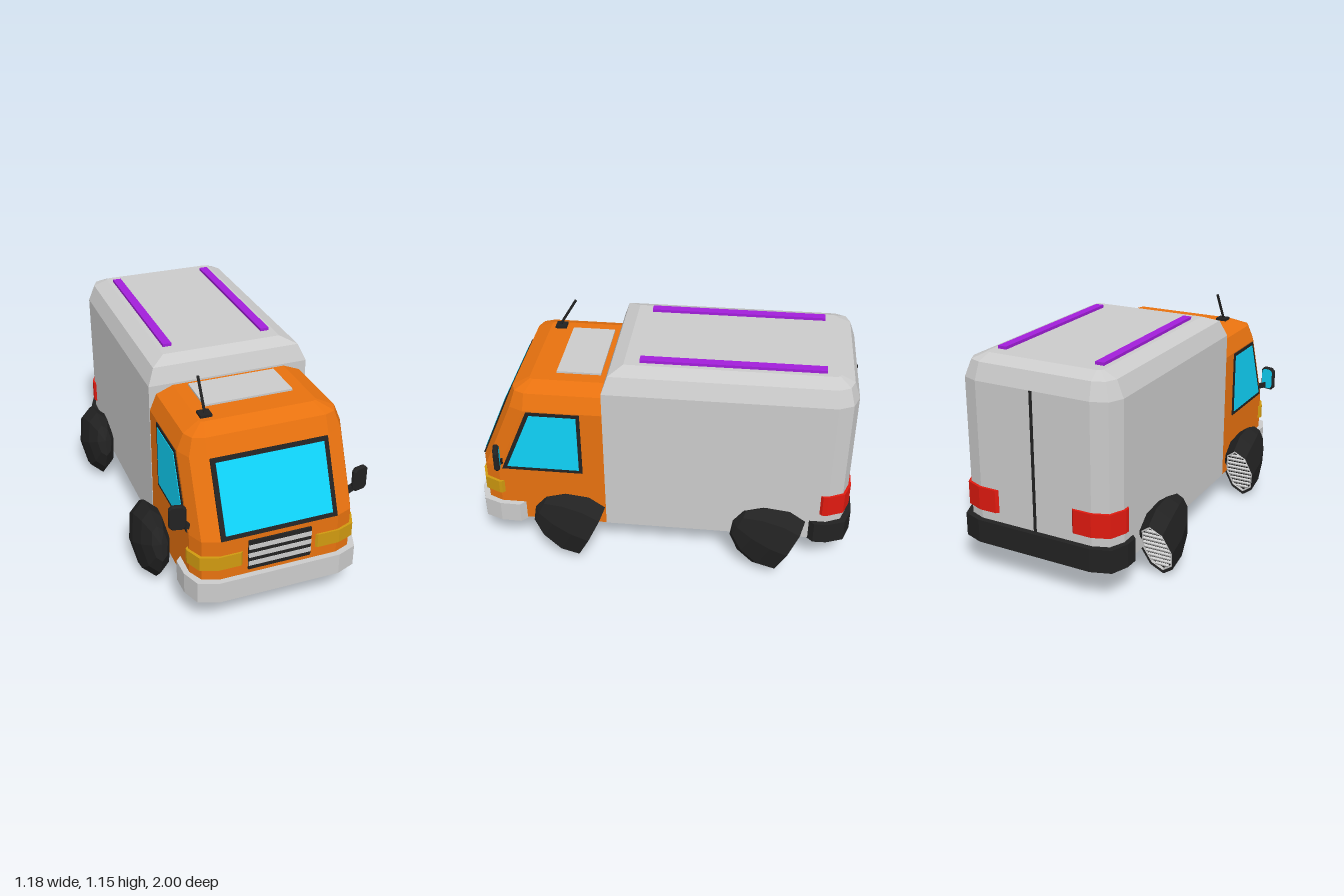
import * as THREE from 'three';

const mat = (color) => new THREE.MeshStandardMaterial({ color, flatShading: true, side: THREE.DoubleSide });
const GREY = mat(0xcccccc), ORANGE = mat(0xe8720f), DARK = mat(0x222222), GLASS = mat(0x10d4fa);
const PURPLE = mat(0xa31fdb), RED = mat(0xe01a10), AMBER = mat(0xd09a10);

function add(parent, name, geometry, material, x = 0, y = 0, z = 0) {
  const mesh = new THREE.Mesh(geometry, material);
  mesh.name = name;
  mesh.position.set(x, y, z);
  parent.add(mesh);
  return mesh;
}
const box = (w, h, d) => new THREE.BoxGeometry(w, h, d);

// Skin between stacked horizontal rings [[x, z], ...], with capped ends
function loft(levels) {
  const pos = [], n = levels[0].ring.length;
  const put = (l, i) => pos.push(l.ring[i % n][0], l.y, l.ring[i % n][1]);
  for (let k = 0; k < levels.length - 1; k++) {
    const a = levels[k], b = levels[k + 1];
    for (let i = 0; i < n; i++) {
      put(a, i); put(a, i + 1); put(b, i + 1);
      put(a, i); put(b, i + 1); put(b, i);
    }
  }
  const low = levels[0], top = levels[levels.length - 1];
  for (let i = 1; i < n - 1; i++) {
    put(low, 0); put(low, i + 1); put(low, i);
    put(top, 0); put(top, i); put(top, i + 1);
  }
  const g = new THREE.BufferGeometry();
  g.setAttribute('position', new THREE.Float32BufferAttribute(pos, 3));
  g.computeVertexNormals();
  return g;
}

// Plan outline: square corners at zSquare, two-step chamfered corners at zRound
function plan(w, zSquare, zRound, c = 1) {
  const s = Math.sign(zRound - zSquare);
  const half = [[w - 0.115 * c, zRound], [w - 0.035 * c, zRound - s * 0.03 * c],
    [w, zRound - s * 0.105 * c], [w, zSquare]];
  const ring = [...half, ...half.map(([x, z]) => [-x, z]).reverse()];
  return s > 0 ? ring : ring.reverse();
}

// Band following a plan path, thickened inward and raised from y0 to y1
function band(path, t, y0, y1) {
  const inner = path.map(([x, z]) => [x - Math.sign(x) * t, z - Math.sign(z) * t]).reverse();
  const shape = new THREE.Shape([...path, ...inner].map(([x, z]) => new THREE.Vector2(x, -z)));
  const g = new THREE.ExtrudeGeometry(shape, { depth: y1 - y0, bevelEnabled: false });
  return g.rotateX(-Math.PI / 2).translate(0, y0, 0);
}
const bothSides = (half) => [...half.map(([x, z]) => [-x, z]), ...half.slice().reverse()];

// Flat pane from [z, y] corners, thin along x
function pane(corners, depth) {
  const shape = new THREE.Shape(corners.map(([z, y]) => new THREE.Vector2(-z, y)));
  const g = new THREE.ExtrudeGeometry(shape, { depth, bevelEnabled: false });
  return g.rotateY(Math.PI / 2).translate(-depth / 2, 0, 0);
}

// Domed pod with a louvred flat face
function makePod() {
  const pod = new THREE.Group();
  pod.name = 'wheelPod';
  const profile = [[0, 0.02], [0.16, 0.02], [0.187, 0], [0.203, 0.1], [0.165, 0.21], [0.09, 0.295], [0, 0.323]];
  add(pod, 'podShell', new THREE.LatheGeometry(profile.map((p) => new THREE.Vector2(...p)), 8), DARK);
  add(pod, 'podRim', new THREE.TorusGeometry(0.166, 0.008, 4, 8).rotateX(Math.PI / 2), GREY, 0, 0.012, 0);
  for (let i = -4; i <= 4; i++) {
    const z = i * 0.032, r = 0.16;
    const halfWidth = Math.abs(z) < 0.707 * r ? r - 0.414 * Math.abs(z) : (r - Math.abs(z)) * 2.414;
    add(pod, 'louvre', box(halfWidth * 2, 0.012, 0.01), GREY, 0, 0.013, z);
  }
  pod.scale.x = 0.46;
  pod.rotation.x = 1.113;
  return pod;
}

export function createModel() {
  const van = new THREE.Group();
  van.name = 'van';

  // Main bodies
  add(van, 'cargoBody', loft([
    { y: 0.175, ring: plan(0.425, 0.3, -0.97) },
    { y: 1.0, ring: plan(0.425, 0.3, -0.97) },
    { y: 1.085, ring: plan(0.39, 0.27, -0.94, 0.75) },
    { y: 1.115, ring: plan(0.315, 0.2, -0.87, 0.2) },
  ]), GREY);
  add(van, 'cab', loft([
    { y: 0.175, ring: plan(0.422, 0.3, 0.97) },
    { y: 0.5, ring: plan(0.422, 0.3, 0.97) },
    { y: 0.87, ring: plan(0.422, 0.3, 0.811) },
    { y: 0.955, ring: plan(0.387, 0.3, 0.775, 0.7) },
    { y: 0.99, ring: plan(0.3, 0.3, 0.69, 0.2) },
  ]), ORANGE);

  // Bumpers
  const front = [[0.452, 0.765], [0.45, 0.87], [0.415, 0.962], [0.315, 1.0]];
  add(van, 'frontBumper', band(bothSides(front), 0.045, 0.165, 0.28), GREY);
  const rear = [[0.452, -0.805], [0.45, -0.875], [0.415, -0.965], [0.315, -1.0]];
  add(van, 'rearBumper', band(bothSides(rear), 0.045, 0.17, 0.29), DARK);

  // Windscreen lying on the sloped front
  const screen = new THREE.Group();
  screen.name = 'windscreen';
  screen.position.set(0, 0.682, 0.892);
  screen.rotation.x = -0.405;
  add(screen, 'windscreenFrame', box(0.6, 0.395, 0.016), DARK);
  add(screen, 'windscreenGlass', box(0.552, 0.35, 0.022), GLASS);
  van.add(screen);

  // Grille
  add(van, 'grille', box(0.325, 0.165, 0.02), DARK, 0, 0.39, 0.97);
  for (let i = -1; i <= 1; i++) add(van, 'grilleBar', box(0.325, 0.025, 0.026), GREY, 0, 0.39 + i * 0.047, 0.97);

  // Roof hatch, aerial and rear door seam
  add(van, 'roofHatch', box(0.46, 0.02, 0.23), GREY, 0, 0.99, 0.445);
  add(van, 'aerialBase', box(0.06, 0.016, 0.06), DARK, -0.257, 0.995, 0.632);
  const rod = add(van, 'aerial', new THREE.CylinderGeometry(0.007, 0.007, 0.185, 6), DARK, -0.257, 1.075, 0.594);
  rod.rotation.x = -0.55;
  add(van, 'doorSeam', box(0.014, 0.72, 0.01), DARK, 0, 0.64, -0.97);

  // Paired parts
  for (const s of [1, -1]) {
    const flip = (path) => path.map(([x, z]) => [x * s, z]);
    add(van, 'headlight', band(flip([[0.2, 0.98], [0.315, 0.98], [0.4, 0.95], [0.435, 0.87], [0.435, 0.855]]), 0.025, 0.342, 0.417), AMBER);
    add(van, 'tailLight', band(flip([[0.22, -0.983], [0.315, -0.983], [0.4, -0.95], [0.437, -0.865], [0.437, -0.84]]), 0.025, 0.34, 0.46), RED);
    add(van, 'roofRail', box(0.046, 0.02, 0.925), PURPLE, s * 0.267, 1.12, -0.34);

    add(van, 'sideWindowFrame', pane([[0.415, 0.5], [0.845, 0.5], [0.69, 0.865], [0.415, 0.865]], 0.014), DARK, s * 0.42);
    add(van, 'sideWindowGlass', pane([[0.433, 0.52], [0.815, 0.52], [0.675, 0.847], [0.433, 0.847]], 0.02), GLASS, s * 0.42);

    // Door mirror, bevelled housing with glass facing back
    const mirror = new THREE.Group();
    mirror.name = 'doorMirror';
    mirror.position.set(s * 0.473, 0.604, 0.853);
    mirror.rotation.y = s * 0.22;
    const outline = (w, h, c) => new THREE.Shape([[w, h - c], [w - c, h], [c - w, h], [-w, h - c],
      [-w, c - h], [c - w, -h], [w - c, -h], [w, c - h]].map((p) => new THREE.Vector2(...p)));
    add(mirror, 'mirrorHousing', new THREE.ExtrudeGeometry(outline(0.036, 0.061, 0.014),
      { depth: 0.012, bevelThickness: 0.008, bevelSize: 0.006, bevelSegments: 1 }), DARK, 0, 0, -0.006);
    add(mirror, 'mirrorGlass', new THREE.ShapeGeometry(outline(0.034, 0.058, 0.014)).rotateY(Math.PI), GLASS, 0, 0, -0.016);
    van.add(mirror);
    const arm = add(van, 'mirrorArm', box(0.08, 0.03, 0.022), DARK, s * 0.434, 0.552, 0.85);
    arm.rotation.z = s * 0.45;

    for (const z of [0.373, -0.672]) {
      const pod = makePod();
      pod.position.set(s * 0.495, 0.172, z);
      van.add(pod);
    }
  }
  return van;
}
